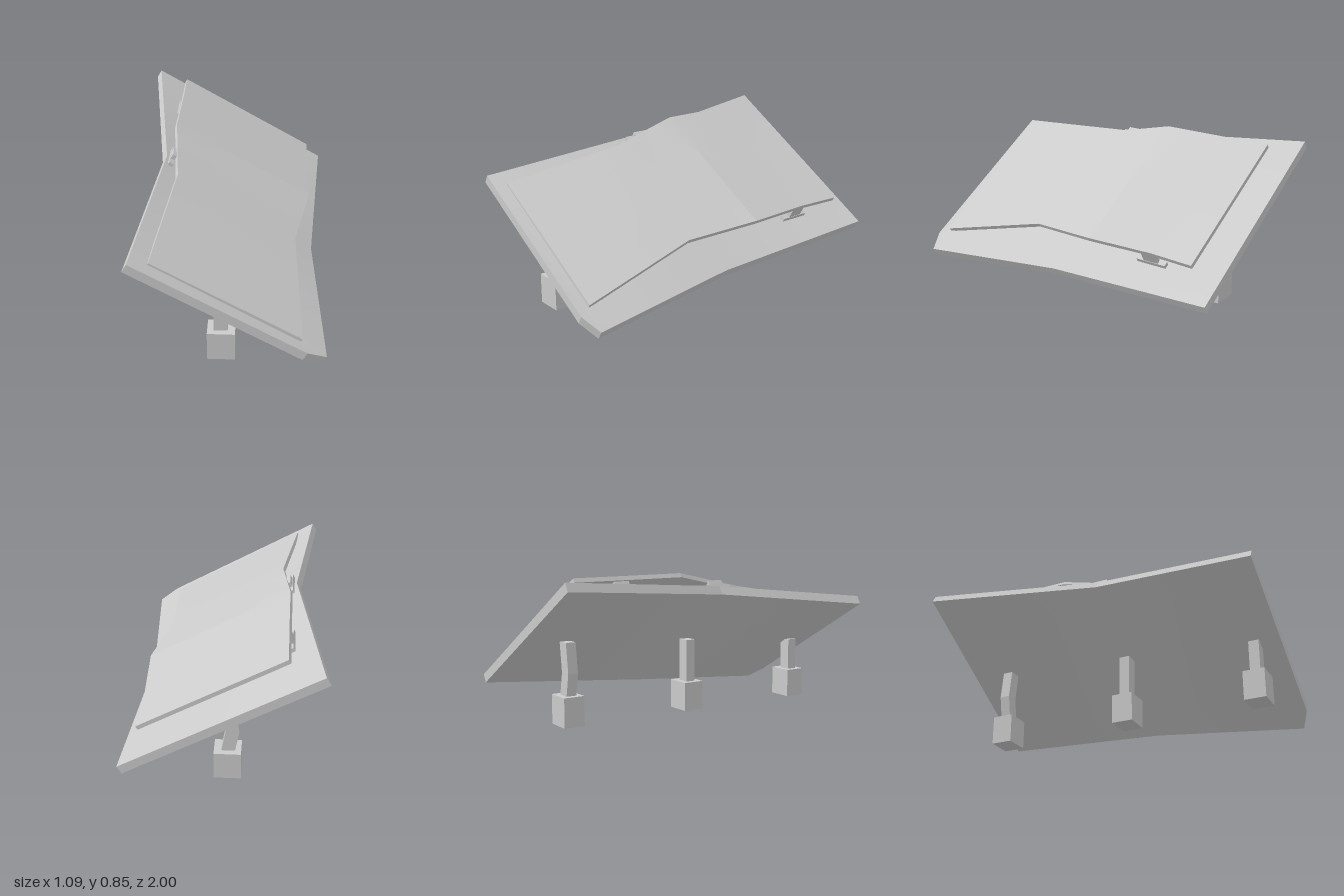
import * as THREE from 'three';
import { toCreasedNormals } from 'three/addons/utils/BufferGeometryUtils.js';

const material = new THREE.MeshStandardMaterial({ color: 0xcccccc });
const ROLL = -Math.PI / 6; // sideways tilt of the whole board

// Plate lofted through stations [z, leftX, leftY, rightX, rightY] running front to back.
// The stations give the top face; the bottom face is offset along the tilted normal.
function plate(stations, thickness, steps = 4, columns = 6) {
  const dx = thickness * Math.sin(ROLL), dy = -thickness * Math.cos(ROLL);
  const rows = [];
  stations.forEach((s, i) => {
    const next = stations[i + 1];
    if (!next) { rows.push(s); return; }
    for (let k = 0; k < steps; k++) rows.push(s.map((v, n) => THREE.MathUtils.lerp(v, next[n], k / steps)));
  });
  const rings = rows.map(([z, lx, ly, rx, ry]) => {
    const top = [], bottom = [];
    for (let j = 0; j <= columns; j++) {
      const t = j / columns;
      const x = lx + (rx - lx) * t, y = ly + (ry - ly) * t;
      top.push([x, y, z]);
      bottom.unshift([x + dx, y + dy, z]);
    }
    return [...top, ...bottom];
  });
  const count = rings[0].length, position = [];
  const quad = (a, b, c, d) => position.push(...a, ...b, ...c, ...a, ...c, ...d);
  for (let i = 0; i < rings.length - 1; i++) {
    for (let k = 0; k < count; k++) {
      const m = (k + 1) % count;
      quad(rings[i][k], rings[i][m], rings[i + 1][m], rings[i + 1][k]);
    }
  }
  // End caps
  const first = rings[0], last = rings[rings.length - 1];
  for (let j = 0; j < columns; j++) {
    const p = count - 1 - j;
    quad(first[p], first[p - 1], first[j + 1], first[j]);
    quad(last[j], last[j + 1], last[p - 1], last[p]);
  }
  const geometry = new THREE.BufferGeometry();
  geometry.setAttribute('position', new THREE.Float32BufferAttribute(position, 3));
  return toCreasedNormals(geometry, 0.15);
}

function add(parent, geometry, name, x = 0, y = 0, z = 0) {
  const mesh = new THREE.Mesh(geometry, material);
  mesh.name = name;
  mesh.position.set(x, y, z);
  parent.add(mesh);
  return mesh;
}

// Foot block with a post; bend shifts the middle of the post sideways
function leg(z, top, bend) {
  const group = new THREE.Group();
  group.name = 'leg';
  add(group, new THREE.BoxGeometry(0.15, 0.17, 0.125), 'foot', -0.025, 0.085, z);
  const shape = new THREE.Shape();
  const path = [[0, 0.165], [-bend, 0.3], [-bend * 0.1, top]];
  path.forEach(([x, y], i) => (i ? shape.lineTo(x - 0.065, y) : shape.moveTo(x - 0.065, y)));
  path.reverse().forEach(([x, y]) => shape.lineTo(x + 0.01, y));
  const post = new THREE.ExtrudeGeometry(shape, { depth: 0.06, bevelEnabled: false });
  add(group, post, 'post', 0, 0, z - 0.03);
  return group;
}

// Long thin bar with a short neck reaching up to the panel
function clip(x, y, z, neckHeight) {
  const group = new THREE.Group();
  group.name = 'clip';
  add(group, new THREE.BoxGeometry(0.03, 0.022, 0.18), 'clipBar');
  add(group, new THREE.BoxGeometry(0.025, neckHeight, 0.09), 'clipNeck', 0, neckHeight / 2);
  group.position.set(x, y, z);
  group.rotation.z = ROLL;
  return group;
}

export function createModel() {
  const model = new THREE.Group();

  // Waisted base board with one clipped front corner
  add(model, plate([
    [1, -0.49, 0.665, 0.435, 0.13],
    [0.95, -0.484, 0.67, 0.54, 0.067],
    [0.04, -0.38, 0.765, 0.475, 0.147],
    [-1, -0.522, 0.845, 0.546, 0.226],
  ], 0.052), 'baseBoard');

  // Bent panel held above the board
  add(model, plate([
    [0.93, -0.39, 0.63, 0.41, 0.167],
    [0.23, -0.3, 0.75, 0.37, 0.345],
    [-0.2, -0.342, 0.846, 0.458, 0.386],
    [-0.6, -0.338, 0.846, 0.445, 0.39],
    [-0.86, -0.338, 0.847, 0.457, 0.388],
  ], 0.025), 'upperPanel');

  model.add(leg(0.85, 0.36, 0), leg(0.06, 0.42, 0), leg(-0.74, 0.47, 0.025));

  model.add(
    clip(0.385, 0.315, -0.575, 0.07),
    clip(-0.355, 0.77, -0.575, 0.05),
    clip(-0.35, 0.755, 0.035, 0.04),
  );
  return model;
}
